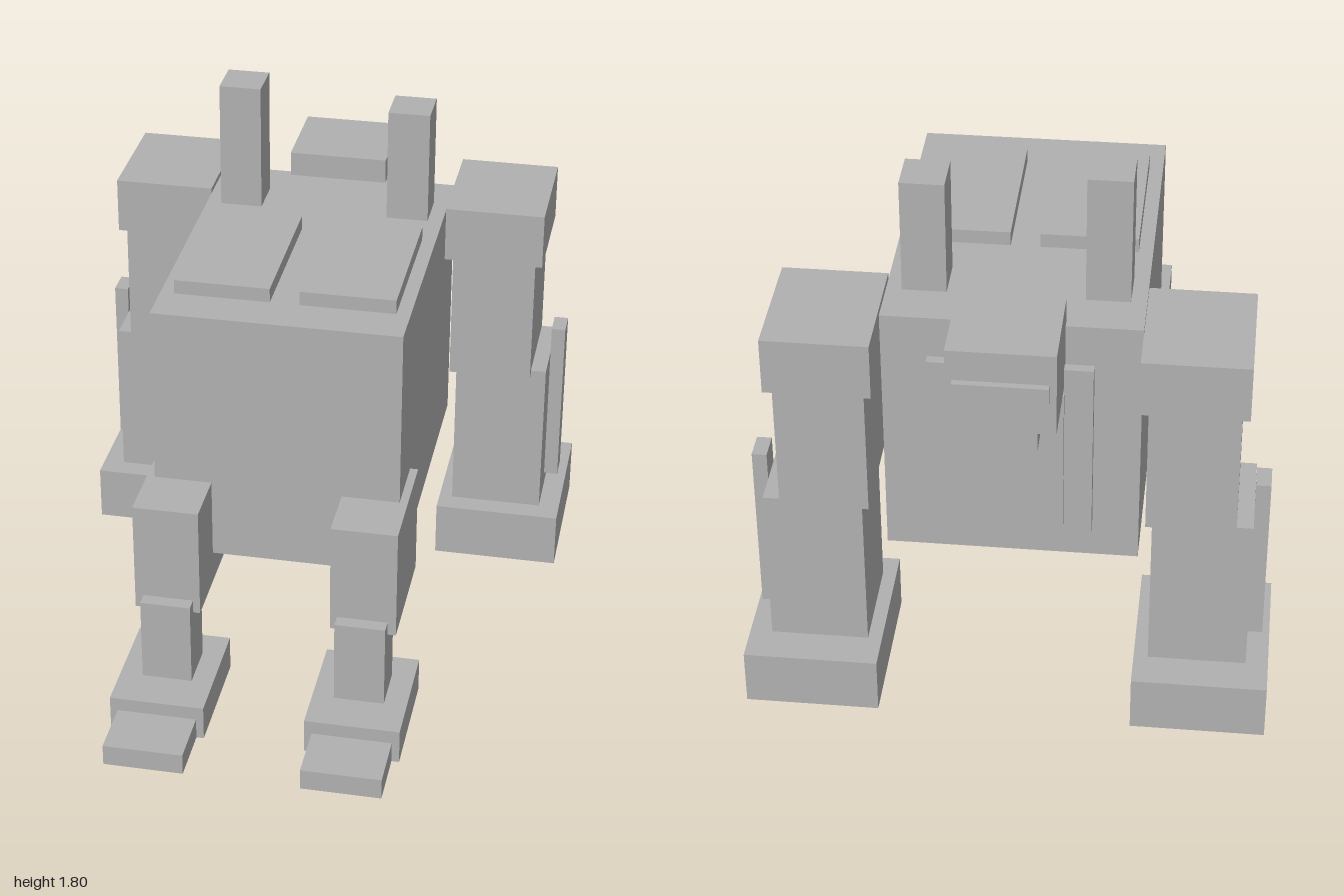
import * as THREE from 'three';

export function createModel() {
  const model = new THREE.Group();
  model.name = 'blockyWalker';
  const grey = new THREE.MeshStandardMaterial({ color: 0xb0b0b0 });
  grey.name = 'plain grey';

  // Box given by its extents along each axis
  function block(parent, name, [x0, x1], [y0, y1], [z0, z1]) {
    const mesh = new THREE.Mesh(new THREE.BoxGeometry(x1 - x0, y1 - y0, z1 - z0), grey);
    mesh.position.set((x0 + x1) / 2, (y0 + y1) / 2, (z0 + z1) / 2);
    mesh.name = name;
    parent.add(mesh);
  }

  // Torso and the layered plate on its rear face
  block(model, 'body', [-0.408, 0.408], [0.475, 1.362], [-0.692, 0.42]);
  block(model, 'rearFrame', [-0.26, 0.26], [0.59, 1.23], [-0.738, -0.706]);
  block(model, 'rearPlate', [-0.17, 0.17], [0.63, 1.14], [-0.755, -0.738]);

  // Head with visor and jaw
  const head = new THREE.Group();
  head.name = 'head';
  model.add(head);
  block(head, 'skull', [-0.168, 0.168], [1.16, 1.447], [-0.978, -0.665]);
  block(head, 'visor', [-0.147, 0.147], [1.285, 1.342], [-1, -0.978]);
  block(head, 'jaw', [-0.11, 0.11], [1.09, 1.16], [-0.978, -0.88]);

  // Mirrored parts
  for (const side of [1, -1]) {
    const label = side > 0 ? 'left' : 'right';
    const group = (name) => {
      const g = new THREE.Group();
      g.name = label + name;
      model.add(g);
      return g;
    };
    const part = (parent, name, x, y, z) =>
      block(parent, name, side > 0 ? x : [-x[1], -x[0]], y, z);

    // Big limb at the head end
    const arm = group('BigLimb');
    part(arm, 'shoulderCap', [0.41, 0.747], [1.183, 1.375], [-0.882, -0.475]);
    part(arm, 'upperLimb', [0.437, 0.722], [0.73, 1.183], [-0.855, -0.493]);
    part(arm, 'lowerLimb', [0.458, 0.775], [0.193, 0.75], [-0.855, -0.52]);
    part(arm, 'sideFin', [0.775, 0.823], [0.245, 0.845], [-0.757, -0.665]);
    part(arm, 'bigFoot', [0.412, 0.847], [0, 0.193], [-0.978, -0.445]);

    // Small leg at the front
    const leg = group('SmallLeg');
    part(leg, 'thigh', [0.217, 0.435], [0.365, 0.75], [0.207, 0.617]);
    part(leg, 'shin', [0.24, 0.407], [0.12, 0.412], [0.5, 0.663]);
    part(leg, 'foot', [0.168, 0.483], [0, 0.12], [0.4, 0.805]);
    part(leg, 'toe', [0.193, 0.458], [0, 0.073], [0.805, 1]);

    // Top pad and post (the posts differ in height)
    part(model, label + 'TopPad', [0.048, 0.362], [1.362, 1.41], [-0.255, 0.275]);
    part(model, label + 'Post', [0.217, 0.358], [1.362, side > 0 ? 1.75 : 1.797], [-0.542, -0.398]);
  }
  return model;
}
